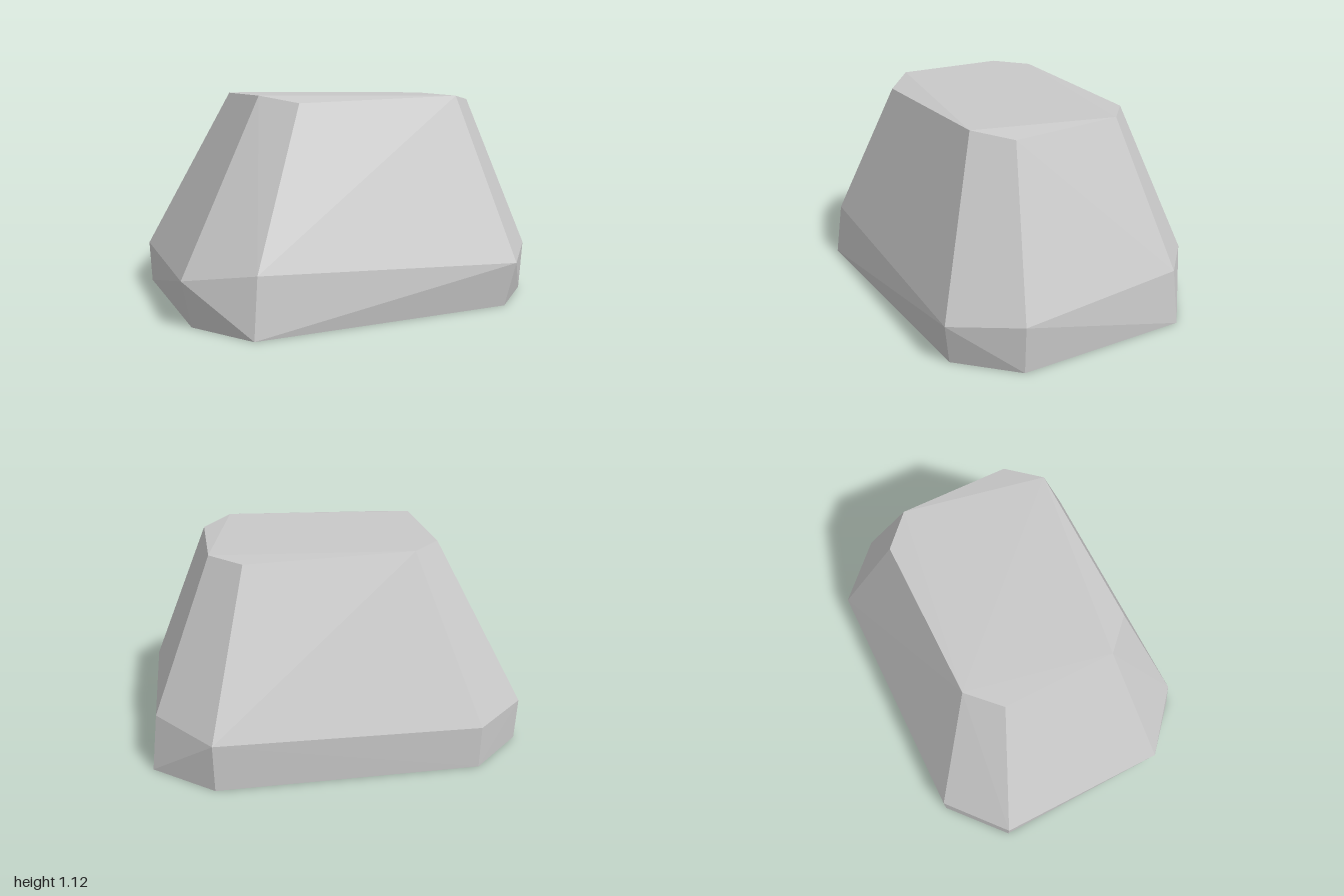
import * as THREE from 'three';
import { ConvexGeometry } from 'three/addons/geometries/ConvexGeometry.js';

// Three irregular eight-sided rings, each listed from front-left corner
// around through +x, the back and -x: [x, y, z]
const base = [
  [-0.72, 0, 0.755], [0.68, 0, 0.71], [0.95, 0, 0.44], [1.0, 0, -0.49],
  [0.69, 0, -0.75], [-0.69, 0, -0.755], [-0.99, 0, -0.49], [-0.95, 0, 0.44],
];
const shoulder = [
  [-0.69, 0.305, 0.72], [0.72, 0.24, 0.75], [0.965, 0.265, 0.445], [0.965, 0.305, -0.47],
  [0.695, 0.255, -0.755], [-0.695, 0.23, -0.755], [-1.0, 0.23, -0.49], [-1.0, 0.245, 0.46],
];
const crown = [
  [-0.39, 1.09, 0.47], [0.49, 1.11, 0.47], [0.65, 1.08, 0.31], [0.65, 1.09, -0.285],
  [0.49, 1.08, -0.44], [-0.39, 1.105, -0.44], [-0.55, 1.11, -0.285], [-0.55, 1.123, 0.31],
];

export function createModel() {
  const group = new THREE.Group();
  group.name = 'rock';

  const stone = new THREE.MeshStandardMaterial({ color: 0xc8c8c8 });
  stone.name = 'stone grey';

  // Faceted boulder: the convex skin around the three rings
  const points = [...base, ...shoulder, ...crown].map((p) => new THREE.Vector3(...p));
  const boulder = new THREE.Mesh(new ConvexGeometry(points), stone);
  boulder.name = 'boulder';
  group.add(boulder);

  return group;
}
